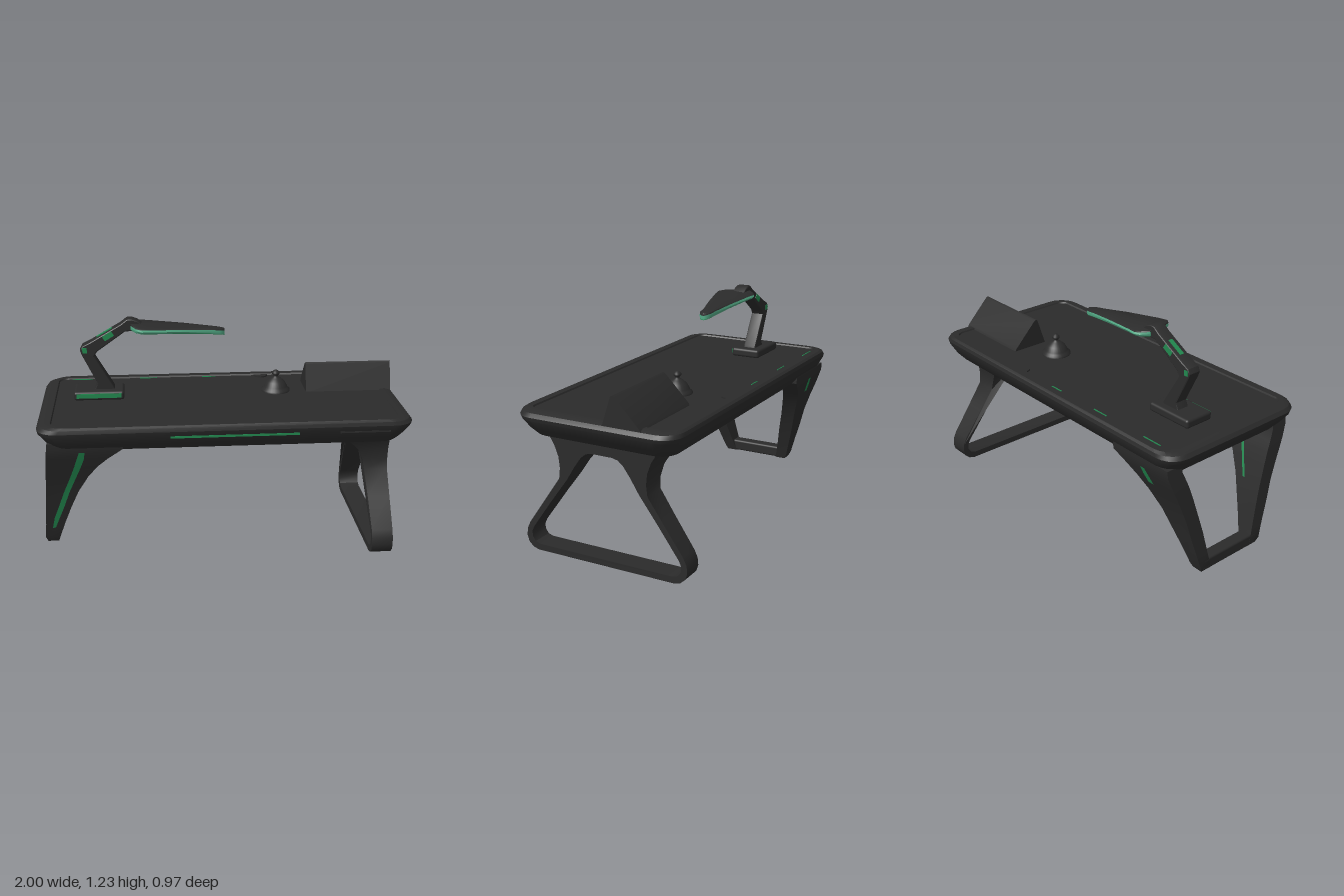
import * as THREE from 'three';
import { toCreasedNormals } from 'three/addons/utils/BufferGeometryUtils.js';
import { RoundedBoxGeometry } from 'three/addons/geometries/RoundedBoxGeometry.js';

const named = (color, name, extra = {}) => {
  const m = new THREE.MeshStandardMaterial({ color, ...extra });
  m.name = name;
  return m;
};

// Skin a list of equal-length rings (counter-clockwise about the loft direction), with end caps
function loft(rings, crease = 0.6) {
  const n = rings[0].length, pos = [], idx = [];
  rings.forEach(r => r.forEach(p => pos.push(...p)));
  for (let i = 0; i < rings.length - 1; i++) {
    for (let j = 0; j < n; j++) {
      const a = i * n + j, b = i * n + (j + 1) % n;
      idx.push(a, b, b + n, a, b + n, a + n);
    }
  }
  [0, rings.length - 1].forEach((k, end) => {
    const c = pos.length / 3;
    for (let t = 0; t < 3; t++) pos.push(rings[k].reduce((s, p) => s + p[t], 0) / n);
    for (let j = 0; j < n; j++) {
      const a = k * n + j, b = k * n + (j + 1) % n;
      idx.push(c, end ? a : b, end ? b : a);
    }
  });
  const g = new THREE.BufferGeometry();
  g.setAttribute('position', new THREE.Float32BufferAttribute(pos, 3));
  g.setIndex(idx);
  return toCreasedNormals(g, crease);
}

// Rounded rectangle ring in the horizontal plane
function roundedRing(hx, hz, r, y, cz = 0.01) {
  const ring = [];
  for (let q = 0; q < 4; q++) {
    const sx = q === 0 || q === 3 ? 1 : -1, sz = q < 2 ? -1 : 1;
    for (let k = 0; k <= 5; k++) {
      const a = (q + k / 5) * Math.PI / 2;
      ring.push([sx * (hx - r) + r * Math.cos(a), y, cz + sz * (hz - r) - r * Math.sin(a)]);
    }
  }
  return ring;
}

// Piecewise linear lookup in rows sorted by their first value
function lookup(rows, t, col) {
  let i = 0;
  while (i < rows.length - 2 && t > rows[i + 1][0]) i++;
  const f = THREE.MathUtils.clamp((t - rows[i][0]) / (rows[i + 1][0] - rows[i][0]), 0, 1);
  return THREE.MathUtils.lerp(rows[i][col], rows[i + 1][col], f);
}

const mirrored = half => [...half, ...half.map(([u, y]) => [-u, y]).reverse()].map(p => new THREE.Vector2(...p));

export function createModel() {
  const model = new THREE.Group();
  const black = named(0x2b2b2b, 'charcoal');
  const green = named(0x22884f, 'green accent', { side: THREE.DoubleSide });
  const light = named(0x52a884, 'pale green light');
  const add = (geometry, material, name, parent = model) => {
    const m = new THREE.Mesh(geometry, material);
    m.name = name;
    parent.add(m);
    return m;
  };
  const box = (w, h, d, x, y, z, material, name, rotZ = 0) => {
    const m = add(new THREE.BoxGeometry(w, h, d), material, name);
    m.position.set(x, y, z);
    m.rotation.z = rotZ;
    return m;
  };

  // Desk top: bevelled slab with a shallow inset work surface
  add(loft([
    roundedRing(0.925, 0.405, 0.09, 0.655),
    roundedRing(0.955, 0.435, 0.1, 0.69),
    roundedRing(0.995, 0.462, 0.11, 0.745),
    roundedRing(1.0, 0.467, 0.11, 0.765),
    roundedRing(0.985, 0.463, 0.11, 0.785),
    roundedRing(0.955, 0.45, 0.1, 0.795),
    roundedRing(0.925, 0.41, 0.05, 0.795),
    roundedRing(0.92, 0.405, 0.045, 0.787),
  ], 0.4), black, 'deskTop');
  box(0.68, 0.012, 0.006, 0.04, 0.733, 0.468, green, 'frontLightStrip');
  box(0.27, 0.008, 0.006, 0.73, 0.733, 0.468, black, 'drawerEdge');
  [[-0.79, 0.12], [-0.4, 0.1], [-0.04, 0.08]].forEach(([x, w]) =>
    box(w, 0.005, 0.006, x, 0.788, -0.388, green, 'inlayStrip'));
  const tab = add(new THREE.CylinderGeometry(0.04, 0.04, 0.008, 20, 1, false, -Math.PI / 2, Math.PI), black, 'cableTab');
  tab.position.set(0.27, 0.791, -0.385);

  // Right leg: closed triangular frame whose inner side flares into the desk
  const frame = new THREE.Shape(mirrored([
    [0.41, 0], [0.445, 0.01], [0.472, 0.035], [0.483, 0.07], [0.479, 0.11], [0.46, 0.15], [0.35, 0.305],
    [0.262, 0.43], [0.255, 0.49], [0.262, 0.55], [0.285, 0.61], [0.32, 0.665],
  ]));
  frame.holes.push(new THREE.Path(mirrored([
    [0.4, 0.035], [0.43, 0.045], [0.448, 0.07], [0.449, 0.1], [0.435, 0.13], [0.32, 0.29],
    [0.215, 0.43], [0.165, 0.51], [0.125, 0.565], [0.095, 0.59], [0.06, 0.598],
  ])));
  const frameGeo = new THREE.ExtrudeGeometry(frame, { depth: 0.115, bevelEnabled: false });
  frameGeo.rotateY(Math.PI / 2).translate(0.795, 0, 0);
  const flare = [[0.2, 0], [0.43, 0.015], [0.51, 0.03], [0.57, 0.065], [0.61, 0.11], [0.665, 0.2]];
  const fp = frameGeo.attributes.position;
  for (let i = 0; i < fp.count; i++) {
    if (fp.getX(i) < 0.85) fp.setX(i, fp.getX(i) - lookup(flare, fp.getY(i), 1));
  }
  add(toCreasedNormals(frameGeo, 0.6), black, 'rightLegFrame');

  // Left legs: two splayed blades, rows are y, outer x, inner x, inner z, outer z
  const blade = [
    [0.03, -0.99, -0.93, 0.14, 0.205], [0.06, -1.0, -0.92, 0.15, 0.22], [0.15, -0.992, -0.89, 0.172, 0.247],
    [0.27, -0.983, -0.845, 0.2, 0.285], [0.375, -0.974, -0.8, 0.23, 0.315], [0.48, -0.967, -0.74, 0.262, 0.355],
    [0.55, -0.962, -0.685, 0.285, 0.385], [0.6, -0.958, -0.63, 0.305, 0.405], [0.66, -0.95, -0.55, 0.33, 0.428],
    [0.7, -0.945, -0.55, 0.33, 0.43],
  ];
  for (const s of [1, -1]) {
    add(loft(blade.map(([y, x0, x1, zi, zo]) => {
      const lo = s > 0 ? zi : -zo, hi = s > 0 ? zo : -zi;
      return [[x1, y, hi], [x1, y, lo], [x0, y, lo], [x0, y, hi]];
    })), black, s > 0 ? 'leftFrontLeg' : 'leftBackLeg');
  }
  const foot = add(new RoundedBoxGeometry(0.072, 0.068, 0.4, 2, 0.012), black, 'leftFootBar');
  foot.position.set(-0.962, 0.066, 0);

  // Glowing ribbons lying on the blade faces, rows are y, x, half width
  const ribbon = (rows, column, offset, sign, name) => {
    const pos = [], idx = [];
    rows.forEach(([y, x, w], i) => {
      const z = sign * (lookup(blade, y, column) + offset);
      pos.push(x - w, y, z, x + w, y, z);
      if (i) idx.push(2 * i - 2, 2 * i - 1, 2 * i + 1, 2 * i - 2, 2 * i + 1, 2 * i);
    });
    const g = new THREE.BufferGeometry();
    g.setAttribute('position', new THREE.Float32BufferAttribute(pos, 3));
    g.setIndex(sign > 0 ? idx : idx.reverse());
    g.computeVertexNormals();
    add(g, green, name);
  };
  const path = [[0.13, -0.948, 0.008], [0.2, -0.927, 0.014], [0.27, -0.9, 0.015], [0.375, -0.863, 0.015],
    [0.48, -0.82, 0.016], [0.55, -0.793, 0.018], [0.6, -0.776, 0.019], [0.645, -0.765, 0.015]];
  ribbon(path, 4, 0.005, 1, 'frontLegLight');
  ribbon(path.slice(5), 4, 0.005, -1, 'backLegLight');
  ribbon(path.slice(3, 7).map(([y, x, w]) => [y, x, w * 0.5]), 3, -0.005, 1, 'innerLegLight');

  // Wedge-shaped stand
  const wedge = new THREE.Shape([[0.055, 0.78], [0.275, 0.78], [0.265, 0.8], [0.13, 0.938], [0.117, 0.945], [0.107, 0.938]]
    .map(p => new THREE.Vector2(...p)));
  const wedgeGeo = new THREE.ExtrudeGeometry(wedge, { depth: 0.49, bevelEnabled: false });
  wedgeGeo.rotateY(Math.PI / 2).translate(0.495, 0, 0);
  add(toCreasedNormals(wedgeGeo, 0.6), black, 'wedgeStand');

  // Bell
  const bell = add(new THREE.LatheGeometry([[0.082, 0], [0.082, 0.012], [0.07, 0.02], [0.066, 0.03], [0.052, 0.055],
    [0.03, 0.075], [0.013, 0.084], [0.012, 0.092], [0.021, 0.1], [0.021, 0.11], [0.012, 0.12], [0, 0.123]]
    .map(p => new THREE.Vector2(...p)), 28), black, 'bell');
  bell.position.set(0.325, 0.785, -0.105);

  // Lamp base
  const base = add(new RoundedBoxGeometry(0.28, 0.05, 0.175, 3, 0.015), black, 'lampBase');
  base.position.set(-0.68, 0.81, -0.09);
  box(0.25, 0.024, 0.008, -0.68, 0.813, -0.001, green, 'lampBaseLight');

  // Lamp arm: bent profile given a constant width
  const arm = new THREE.Shape([[-0.71, 0.82], [-0.59, 0.82], [-0.595, 0.845], [-0.7, 1.025], [-0.685, 1.05],
    [-0.525, 1.163], [-0.45, 1.166], [-0.415, 1.19], [-0.455, 1.222], [-0.49, 1.234], [-0.515, 1.232],
    [-0.55, 1.205], [-0.72, 1.107], [-0.765, 1.085], [-0.778, 1.06], [-0.77, 1.035], [-0.69, 0.87]]
    .map(p => new THREE.Vector2(...p)));
  const armGeo = new THREE.ExtrudeGeometry(arm,
    { depth: 0.055, bevelSize: 0.006, bevelThickness: 0.01, bevelOffset: -0.006, bevelSegments: 2 });
  add(toCreasedNormals(armGeo.translate(0, 0, -0.1215), 0.5), black, 'lampArm');
  box(0.1, 0.006, 0.025, -0.64, 1.153, -0.095, green, 'armTopLight', 0.52);
  for (const z of [-0.131, -0.058]) {
    box(0.06, 0.03, 0.005, -0.62, 1.14, z, green, 'armSideLight', 0.55);
    box(0.025, 0.03, 0.005, -0.752, 1.06, z, green, 'kneeLight');
  }

  // Lamp head: tapering blade, rows are x, half width, centre z, top y
  const head = [[-0.495, 0.045, -0.095, 1.205], [-0.465, 0.1, -0.08, 1.202], [-0.435, 0.118, -0.074, 1.2],
    [-0.38, 0.108, -0.075, 1.197], [-0.2, 0.072, -0.087, 1.184], [-0.06, 0.042, -0.098, 1.17],
    [0, 0.034, -0.1, 1.163], [0.022, 0.022, -0.1, 1.159], [0.03, 0.008, -0.1, 1.155]];
  add(loft(head.map(([x, w, c, y]) => [[x, y - 0.006, c], [x, y - 0.006, c + w * 0.94], [x, y - 0.017, c + w],
    [x, y - 0.028, c + w * 0.92], [x, y - 0.026, c], [x, y - 0.028, c - w * 0.92],
    [x, y - 0.017, c - w], [x, y - 0.006, c - w * 0.94]]), 0.7), light, 'lampDiffuser');
  add(loft(head.map(([x, w, c, y]) => [[x, y + 0.006, c], [x, y, c + w * 0.9], [x, y - 0.006, c + w * 0.985],
    [x, y - 0.008, c], [x, y - 0.006, c - w * 0.985], [x, y, c - w * 0.9]]), 0.7), black, 'lampHead');
  // Green panel under the head
  add(loft(head.map(([x, w, c, y]) => [[x, y - 0.025, c], [x, y - 0.0275, c + w * 0.88], [x, y - 0.031, c + w * 0.86],
    [x, y - 0.03, c], [x, y - 0.031, c - w * 0.86], [x, y - 0.0275, c - w * 0.88]])), green, 'lampUnderside');

  return model;
}
